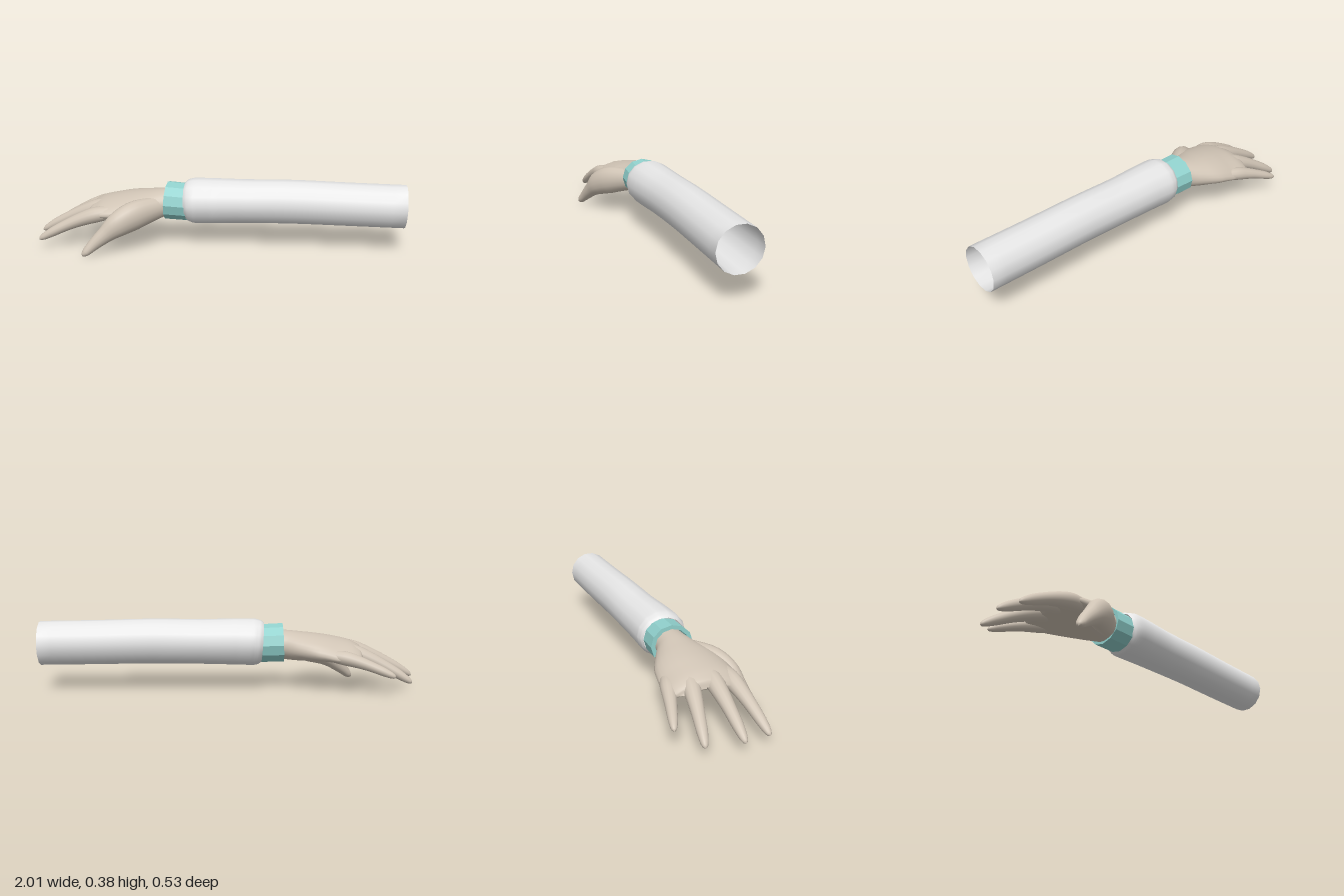
import * as THREE from 'three';

const mat = (name, color, extra = {}) => Object.assign(new THREE.MeshStandardMaterial({ color, ...extra }), { name });

// Smooth skin through sections [x, y, z, sideRadius, upRadius, edgeDroop]
function loft(sections, steps, sides) {
  const path = new THREE.CatmullRomCurve3(sections.map(s => new THREE.Vector3(s[0], s[1], s[2])));
  const size = new THREE.CatmullRomCurve3(sections.map(s => new THREE.Vector3(s[3], s[4], s[5] || 0)));
  const pos = [], index = [], up = new THREE.Vector3(0, 1, 0);
  for (let i = 0; i <= steps; i++) {
    const c = path.getPoint(i / steps), r = size.getPoint(i / steps), t = path.getTangent(i / steps);
    const side = up.clone().cross(t).normalize(), top = t.clone().cross(side);
    for (let j = 0; j < sides; j++) {
      const a = (j / sides) * Math.PI * 2, cos = Math.cos(a);
      const p = c.clone().addScaledVector(side, cos * Math.max(r.x, 0.001))
        .addScaledVector(top, Math.sin(a) * Math.max(r.y, 0.001));
      pos.push(p.x, p.y - r.z * cos * cos * (cos < 0 ? 1 : 0.5), p.z);
      if (i < steps) {
        const k = (j + 1) % sides, n = i * sides;
        index.push(n + j, n + k, n + sides + j, n + k, n + sides + k, n + sides + j);
      }
    }
  }
  const g = new THREE.BufferGeometry();
  g.setAttribute('position', new THREE.Float32BufferAttribute(pos, 3));
  g.setIndex(index);
  g.computeVertexNormals();
  return g;
}

export function createModel() {
  const model = new THREE.Group();
  model.name = 'arm';
  const skin = mat('skin', 0xd0c4b5, { side: THREE.DoubleSide });
  const cloth = mat('sleeve cloth', 0xe6e6e6, { side: THREE.DoubleSide });
  const teal = mat('cuff teal', 0x90d0cc, { flatShading: true });
  const add = (parent, name, geometry, material) => {
    const m = new THREE.Mesh(geometry, material);
    m.name = name;
    parent.add(m);
    return m;
  };

  // Open sleeve, gathered slightly at the wrist
  add(model, 'sleeve', loft([
    [1, 0.257, -0.118, 0.118, 0.117],
    [0.7, 0.26, -0.102, 0.118, 0.118],
    [0.4, 0.264, -0.084, 0.118, 0.12],
    [0.15, 0.26, -0.068, 0.122, 0.12],
    [-0.03, 0.258, -0.053, 0.129, 0.124],
    [-0.13, 0.256, -0.047, 0.133, 0.125],
    [-0.165, 0.255, -0.047, 0.126, 0.118],
    [-0.182, 0.254, -0.047, 0.114, 0.106],
  ], 28, 14), cloth);

  // Thick cuff band, open through the middle
  const band = [[0.084, -0.06], [0.103, -0.06], [0.105, 0.06], [0.084, 0.06], [0.084, -0.06]];
  const cuff = add(model, 'cuff', new THREE.LatheGeometry(band.map(p => new THREE.Vector2(...p)), 12), teal);
  cuff.rotation.z = Math.PI / 2 - 0.04;
  cuff.position.set(-0.232, 0.25, -0.044);
  cuff.scale.z = 1.08;

  const hand = new THREE.Group();
  hand.name = 'hand';
  model.add(hand);

  // Wrist and palm, arched across the knuckles
  add(hand, 'palm', loft([
    [-0.2, 0.25, -0.044, 0.078, 0.074],
    [-0.29, 0.242, -0.038, 0.09, 0.078],
    [-0.38, 0.234, -0.037, 0.133, 0.077, 0.01],
    [-0.47, 0.232, -0.035, 0.172, 0.069, 0.025],
    [-0.56, 0.228, -0.03, 0.187, 0.058, 0.04],
    [-0.64, 0.222, -0.03, 0.186, 0.045, 0.04],
    [-0.69, 0.212, -0.028, 0.165, 0.03, 0.035],
    [-0.71, 0.205, -0.028, 0.12, 0.004, 0.02],
  ], 28, 28), skin);

  // Thumb with its broad base
  add(hand, 'thumb', loft([
    [-0.27, 0.235, -0.02, 0.04, 0.05],
    [-0.36, 0.222, 0.04, 0.055, 0.068],
    [-0.45, 0.2, 0.112, 0.062, 0.08],
    [-0.52, 0.165, 0.162, 0.055, 0.07],
    [-0.58, 0.118, 0.19, 0.043, 0.047],
    [-0.64, 0.066, 0.216, 0.033, 0.033],
    [-0.68, 0.026, 0.238, 0.024, 0.022],
    [-0.694, 0.012, 0.245, 0.014, 0.013],
    [-0.699, 0.005, 0.248, 0.001, 0.001],
  ], 28, 16), skin);

  // Fingers curve down from the knuckles: base, tip, thickness
  const fingers = [
    ['indexFinger', [-0.58, 0.212, 0.105], [-0.972, 0.055, 0.165], 0.98],
    ['middleFinger', [-0.58, 0.23, 0.015], [-1.0, 0.06, 0.03], 1],
    ['ringFinger', [-0.58, 0.225, -0.08], [-0.968, 0.055, -0.15], 0.98],
    ['littleFinger', [-0.55, 0.2, -0.172], [-0.862, 0.105, -0.255], 0.85],
  ];
  const taper = [[0, 0.04], [0.2, 0.046], [0.4, 0.04], [0.6, 0.033], [0.8, 0.028], [0.93, 0.02], [0.98, 0.012], [1, 0.001]];
  for (const [name, base, tip, k] of fingers) {
    add(hand, name, loft(taper.map(([t, r]) => [
      base[0] + (tip[0] - base[0]) * t,
      base[1] + (tip[1] - base[1]) * t ** 1.5,
      base[2] + (tip[2] - base[2]) * t,
      r * k, r * k * 0.95,
    ]), 24, 14), skin);
  }
  return model;
}
